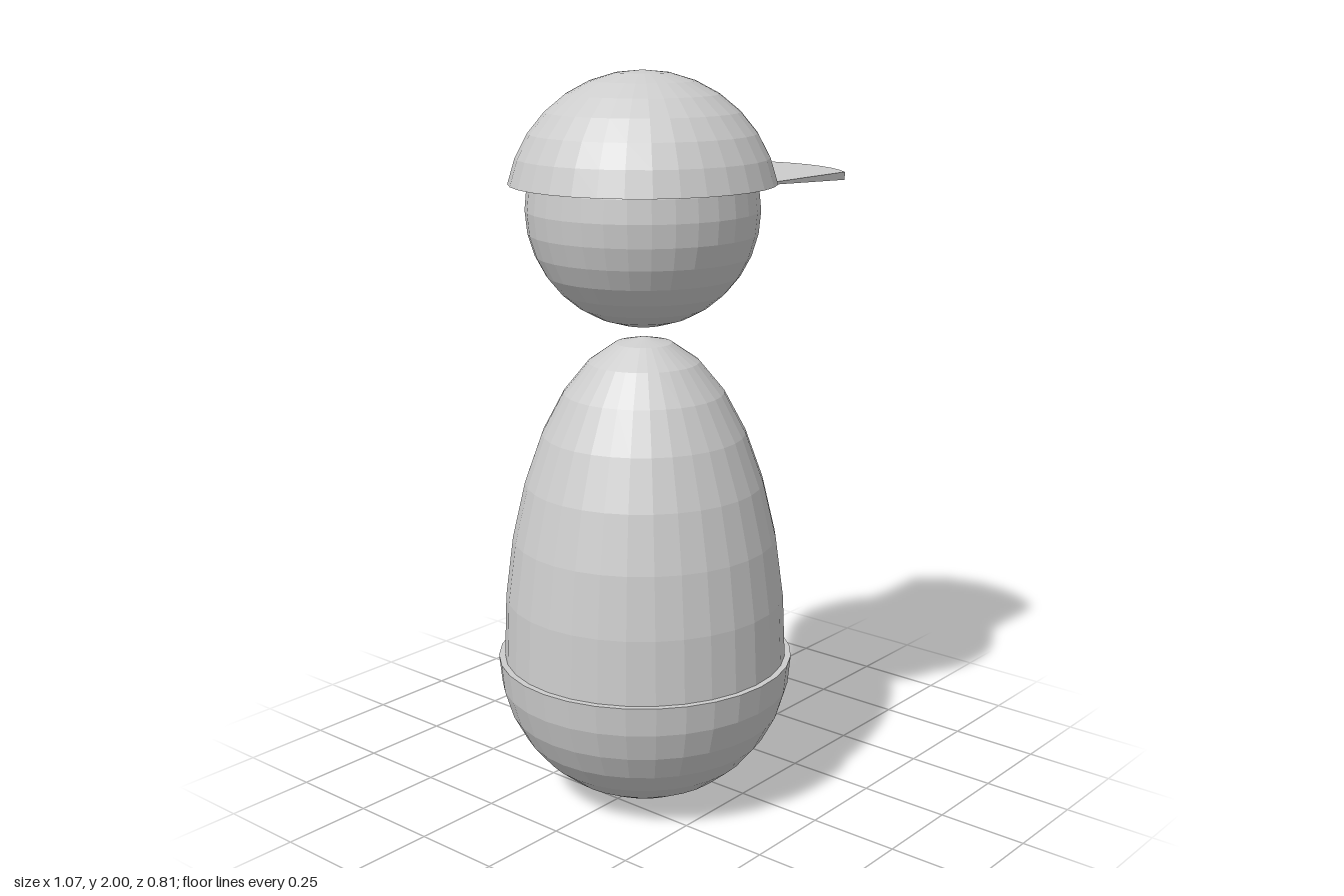
import * as THREE from 'three';

export function createModel() {
  const model = new THREE.Group();
  const grey = new THREE.MeshStandardMaterial({ color: 0xcccccc, flatShading: true, side: THREE.DoubleSide });
  grey.name = 'plain grey';
  const CX = -0.13; // axis of the figure
  const STEP = Math.PI / 16;

  function add(name, geometry, x, y) {
    const mesh = new THREE.Mesh(geometry, grey);
    mesh.name = name;
    mesh.position.set(x, y, 0);
    model.add(mesh);
    return mesh;
  }

  // Band of a sphere, from one ring to another (16 rings pole to pole)
  const dome = (r, from, to) =>
    new THREE.SphereGeometry(r, 32, to - from, 0, Math.PI * 2, from * STEP, (to - from) * STEP);

  // Flat ring closing the open edge of a dome
  const rim = (inner, outer, up) =>
    new THREE.RingGeometry(inner, outer, 32).rotateX(up ? -Math.PI / 2 : Math.PI / 2);

  // Round base cup with its upward lip
  add('baseCup', dome(0.407, 8, 16), CX, 0.41).scale.y = 0.41 / 0.407;
  add('baseLip', rim(0.38, 0.407, true), CX, 0.41);

  // Tall egg-shaped body
  add('body', dome(0.39, 0, 8).scale(1, 0.895 / 0.39, 1), CX, 0.41);

  // Head
  add('head', dome(0.309, 0, 16), CX, 1.643);

  // Cap crown and its underside
  add('capCrown', dome(0.359, 0, 7), CX, 1.641);
  add('capUnderside', rim(0.295, 0.352, false), CX, 1.711);

  // Brim: rounded outline, thickening from the cap towards the tip
  const outline = new THREE.Shape();
  outline.moveTo(0, -0.25);
  outline.lineTo(0.43, -0.25);
  const half = Math.asin(0.25 / 0.355);
  for (let i = 0; i <= 10; i++) {
    const a = half * (i / 5 - 1);
    outline.lineTo(0.178 + 0.355 * Math.cos(a), 0.355 * Math.sin(a));
  }
  outline.lineTo(0, 0.25);
  const brim = new THREE.ExtrudeGeometry(outline, { depth: 1, bevelEnabled: false });
  brim.rotateX(Math.PI / 2);
  const p = brim.attributes.position;
  for (let i = 0; i < p.count; i++) {
    if (p.getY(i) < -0.5) p.setY(i, -0.002 - 0.022 * Math.min(1, p.getX(i) / 0.48));
  }
  brim.computeVertexNormals();
  add('capBrim', brim, 0, 1.711);

  return model;
}
